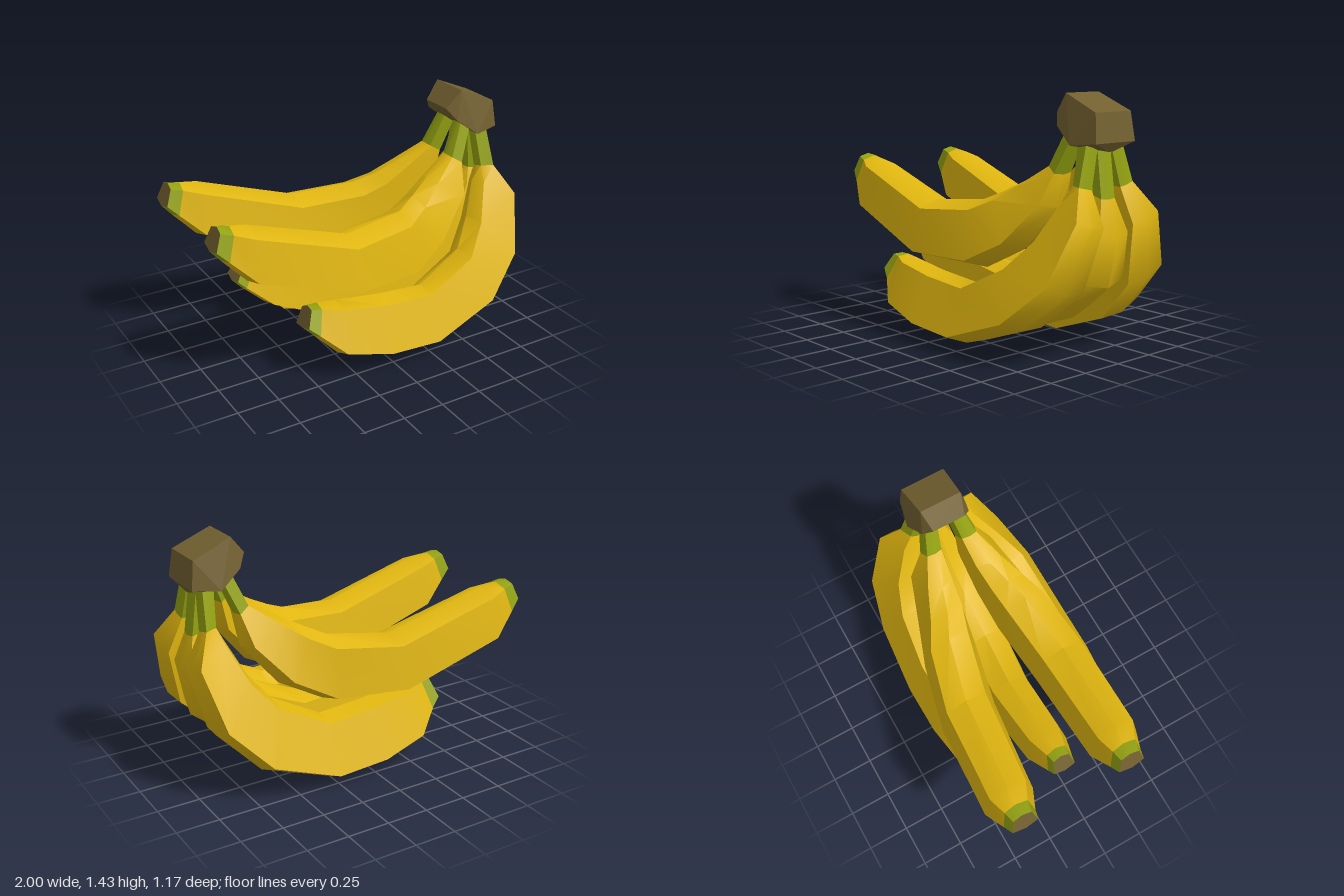
import * as THREE from 'three';
import { toCreasedNormals } from 'three/addons/utils/BufferGeometryUtils.js';
import { ConvexGeometry } from 'three/addons/geometries/ConvexGeometry.js';

const mat = (name, color) => new THREE.MeshStandardMaterial({ name, color });

// ring rows: inner x, inner y, outer x, outer y, centre z, half width
const upperFront = [
  [0.71, 1.28, 0.78, 1.22, 0.07, 0.05], [0.61, 1.05, 0.69, 1.0, 0.11, 0.065],
  [0.44, 0.95, 0.68, 0.82, 0.15, 0.11], [0.31, 0.88, 0.47, 0.57, 0.2, 0.145],
  [0.19, 0.826, 0.22, 0.44, 0.245, 0.172], [-0.18, 0.79, -0.2, 0.445, 0.285, 0.177],
  [-0.78, 0.98, -0.8, 0.65, 0.26, 0.155], [-0.88, 0.99, -0.94, 0.8, 0.245, 0.1],
  [-0.95, 1.0, -1.0, 0.87, 0.24, 0.08],
];
const upperBackZ = [-0.08, -0.12, -0.17, -0.21, -0.27, -0.365, -0.43, -0.44, -0.44];
const upperBack = upperFront.map((r, i) => [...r.slice(0, 4), upperBackZ[i], r[5]]);

const lowerFront = [
  [0.79, 1.2, 0.88, 1.2, 0.085, 0.045], [0.81, 0.95, 0.9, 0.945, 0.15, 0.05],
  [0.77, 0.87, 1.0, 0.76, 0.19, 0.105], [0.68, 0.68, 0.92, 0.41, 0.28, 0.145],
  [0.56, 0.53, 0.68, 0.19, 0.37, 0.155], [0.27, 0.38, 0.27, 0.045, 0.405, 0.155],
  [-0.03, 0.4, -0.05, 0.06, 0.4, 0.155], [-0.3, 0.43, -0.33, 0.13, 0.38, 0.142],
  [-0.41, 0.435, -0.46, 0.26, 0.35, 0.095], [-0.47, 0.435, -0.52, 0.32, 0.345, 0.08],
];
const lowerBack = lowerFront.map((r, i) =>
  [r[0], r[1], r[2], r[3] - (i > 3 ? 0.03 : 0), -r[4] + (i > 3 ? 0.035 : 0), r[5]]);

const middle = [
  [0.8, 1.18, 0.88, 1.17, 0, 0.05], [0.82, 0.9, 0.92, 0.88, 0, 0.052],
  [0.77, 0.82, 0.98, 0.68, 0, 0.11], [0.66, 0.62, 0.92, 0.4, 0, 0.15],
  [0.52, 0.52, 0.66, 0.19, 0, 0.16], [0.25, 0.4, 0.25, 0.035, -0.005, 0.168],
  [-0.1, 0.44, -0.12, 0.1, -0.035, 0.155], [-0.5, 0.575, -0.57, 0.32, -0.03, 0.135],
  [-0.64, 0.61, -0.72, 0.46, -0.03, 0.085], [-0.7, 0.62, -0.765, 0.51, -0.03, 0.07],
];

// six-sided section with a low ridge inside and a keel outside, rolled about its length
function ringPoints([ix, iy, ox, oy, z, w], roll, keel) {
  const h = Math.hypot(ix - ox, iy - oy);
  const section = [[0, 1], [0.72, 0.87], [1, keel], [0, 0], [-1, keel], [-0.72, 0.87]];
  return section.map(([s, u]) => [
    ox + (ix - ox) * u,
    oy + (iy - oy) * u + s * w * Math.sin(roll),
    z + s * w * Math.cos(roll) - (u - 0.5) * h * Math.sin(roll),
  ]);
}

function build(positions, index) {
  const g = new THREE.BufferGeometry();
  g.setAttribute('position', new THREE.Float32BufferAttribute(positions.flat(), 3));
  g.setIndex(index);
  return toCreasedNormals(g, 0.75);
}

// open skin across consecutive rings
function skin(rings) {
  const n = rings[0].length, index = [];
  for (let i = 0; i < rings.length - 1; i++) {
    for (let j = 0; j < n; j++) {
      const a = i * n + j, b = i * n + (j + 1) % n, c = a + n, d = b + n;
      index.push(a, c, b, b, c, d);
    }
  }
  return build(rings.flat(), index);
}

function banana(name, rows, roll, keel, mats) {
  const group = new THREE.Group();
  group.name = name;
  const rings = rows.map((r, i) => ringPoints(r, i < 1 ? 0 : roll, keel));
  const n = rings.length;
  const add = (part, geometry, material) => {
    const mesh = new THREE.Mesh(geometry, material);
    mesh.name = part;
    group.add(mesh);
  };
  add('stem', skin(rings.slice(0, 2)), mats.green);
  add('peel', skin(rings.slice(1, n - 1)), mats.yellow);
  add('greenTip', skin(rings.slice(n - 2)), mats.green);
  add('blossomEnd', build(rings[n - 1], [0, 2, 1, 0, 3, 2, 0, 4, 3, 0, 5, 4]), mats.brown);
  return group;
}

export function createModel() {
  const mats = {
    yellow: mat('ripe yellow', 0xe0b60f),
    green: mat('stem green', 0x95a311),
    brown: mat('woody brown', 0x726030),
  };
  const model = new THREE.Group();
  model.name = 'bananaBunch';
  model.add(
    banana('upperFrontBanana', upperFront, 0, 0.15, mats),
    banana('upperBackBanana', upperBack, 0, 0.15, mats),
    banana('lowerFrontBanana', lowerFront, 0.22, 0.07, mats),
    banana('lowerBackBanana', lowerBack, -0.25, 0.07, mats),
    banana('middleBanana', middle, 0, 0.13, mats),
  );

  // faceted woody crown joining the stems
  const profile = [
    [0.7, 1.435, 0.125], [0.925, 1.34, 0.135], [0.61, 1.33, 0.1],
    [0.66, 1.26, 0.15], [0.79, 1.165, 0.185], [0.945, 1.18, 0.15], [0.91, 1.13, 0.015],
  ];
  const points = profile.flatMap(([x, y, z]) =>
    [1, -1].map((s) => new THREE.Vector3(x, y, s * z - 0.012)));
  const crown = new THREE.Mesh(new ConvexGeometry(points), mats.brown);
  crown.name = 'crown';
  model.add(crown);
  return model;
}
